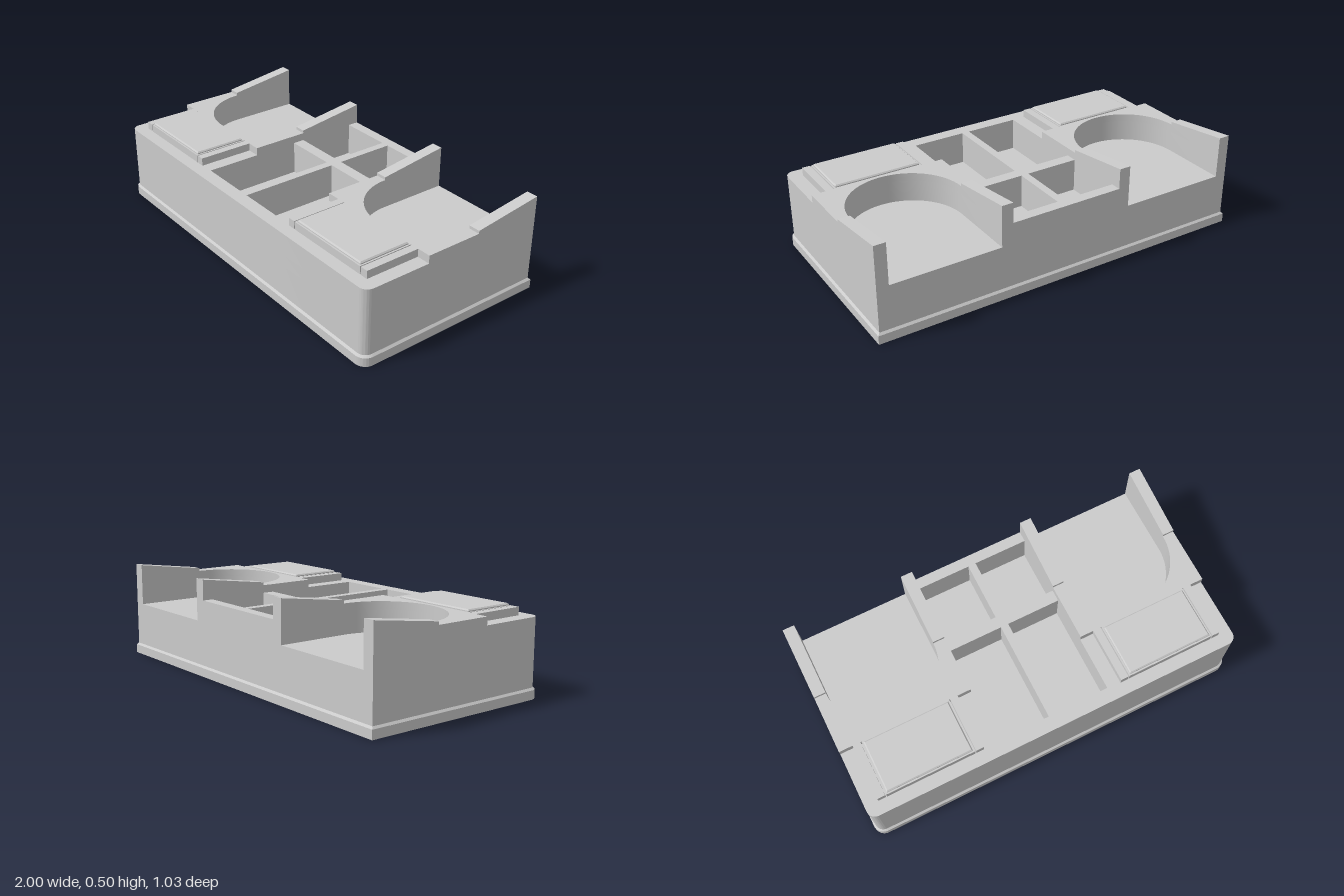
import * as THREE from 'three';
import { toCreasedNormals } from 'three/addons/utils/BufferGeometryUtils.js';

const material = new THREE.MeshStandardMaterial({ color: 0xcccccc });
const BAY_X = 0.645;    // centre of each side bay
const BAY_R = 0.285;    // radius of the round-ended bay
const BAY_Z = -0.14;    // centre of the bay's round end

// Shapes are drawn in plan with shape y = -z, then raised from y0 to y1.
function slab(name, shape, y0, y1, bevel = 0) {
  const geometry = new THREE.ExtrudeGeometry(shape, {
    depth: y1 - y0 - bevel, curveSegments: 32, bevelEnabled: bevel > 0,
    bevelThickness: bevel, bevelSize: bevel, bevelOffset: -bevel, bevelSegments: 1,
  });
  geometry.rotateX(-Math.PI / 2).translate(0, y0, 0);
  return part(name, geometry);
}

function part(name, geometry) {
  const mesh = new THREE.Mesh(toCreasedNormals(geometry, 0.6), material);
  mesh.name = name;
  return mesh;
}

// Rectangle with rounded front corners; optionally with the bays cut into its back.
function outline(hx, hz, r, withBays = false) {
  const s = new THREE.Shape();
  s.moveTo(-hx, hz);
  s.lineTo(-hx, -hz + r);
  s.absarc(-hx + r, -hz + r, r, Math.PI, Math.PI * 1.5);
  s.lineTo(hx - r, -hz);
  s.absarc(hx - r, -hz + r, r, -Math.PI / 2, 0);
  s.lineTo(hx, hz);
  if (withBays) for (const cx of [BAY_X, -BAY_X]) bayCut(s, cx, hz);
  s.closePath();
  return s;
}

// U-shaped notch, drawn from the right side round to the left
function bayCut(s, cx, back) {
  s.lineTo(cx + BAY_R, back);
  s.lineTo(cx + BAY_R, -BAY_Z);
  s.absarc(cx, -BAY_Z, BAY_R, 0, -Math.PI, true);
  s.lineTo(cx - BAY_R, back);
}

function rect(PathType, x0, x1, z0, z1) {
  return new PathType([[x0, -z1], [x1, -z1], [x1, -z0], [x0, -z0]]
    .map(([x, y]) => new THREE.Vector2(x, y)));
}

function addPockets(shape) {
  for (const [x0, x1] of [[-0.3, -0.02], [0.02, 0.3]])
    for (const [z0, z1] of [[-0.45, -0.14], [-0.08, 0.435]])
      shape.holes.push(rect(THREE.Path, x0, x1, z0, z1));
  return shape;
}

// Raised deck around one bay, its two rails, the sloping arms and the lid
function bayTop(name, cx) {
  const g = new THREE.Group();
  g.name = name;
  g.position.x = cx;

  const deck = new THREE.Shape();
  deck.moveTo(-0.345, 0.505);
  for (const [x, z] of [[-0.345, 0.155], [-0.275, 0.155], [-0.275, 0.44], [-0.235, 0.44], [-0.235, 0.155],
    [0.235, 0.155], [0.235, 0.44], [0.275, 0.44], [0.275, 0.155], [0.345, 0.155], [0.345, -0.505]])
    deck.lineTo(x, -z);
  bayCut(deck, 0, 0.505);
  deck.closePath();
  g.add(slab('raisedDeck', deck, 0.39, 0.43));

  // arm profile in (z, y), extruded across x
  const profile = new THREE.Shape([[-0.505, 0.43], [BAY_Z, 0.43], [BAY_Z, 0.445], [-0.505, 0.495]]
    .map(([z, y]) => new THREE.Vector2(-z, y)));
  for (const x of [-0.345, BAY_R]) {
    const arm = new THREE.ExtrudeGeometry(profile, { depth: 0.06, bevelEnabled: false });
    arm.rotateY(Math.PI / 2).translate(x, 0, 0);
    g.add(part('slopingArm', arm));
  }

  g.add(slab('lidBase', rect(THREE.Shape, -0.23, 0.23, 0.155, 0.44), 0.39, 0.43));
  g.add(slab('lidTop', rect(THREE.Shape, -0.222, 0.222, 0.163, 0.432), 0.43, 0.441, 0.006));
  return g;
}

export function createModel() {
  const model = new THREE.Group();
  model.name = 'deskOrganizer';

  // base flange with a chamfered upper lip
  model.add(slab('baseFlange', outline(1, 0.515, 0.055), 0, 0.045));
  const lip = slab('baseLip', outline(1, 0.515, 0.055), 0.045, 0.055);
  const p = lip.geometry.attributes.position;
  for (let i = 0; i < p.count; i++)
    if (p.getY(i) > 0.05) p.setXYZ(i, p.getX(i) * 0.99, p.getY(i), p.getZ(i) * 0.505 / 0.515);
  lip.geometry = toCreasedNormals(lip.geometry, 0.6);
  model.add(lip);

  // body in layers: solid, then pockets, then pockets and bays
  model.add(slab('bodyFloor', outline(0.99, 0.505, 0.045), 0.055, 0.22));
  model.add(slab('bodyPockets', addPockets(outline(0.99, 0.505, 0.045)), 0.22, 0.28));
  model.add(slab('bodyTop', addPockets(outline(0.99, 0.505, 0.045, true)), 0.28, 0.39));

  model.add(bayTop('leftBay', BAY_X), bayTop('rightBay', -BAY_X));
  return model;
}
